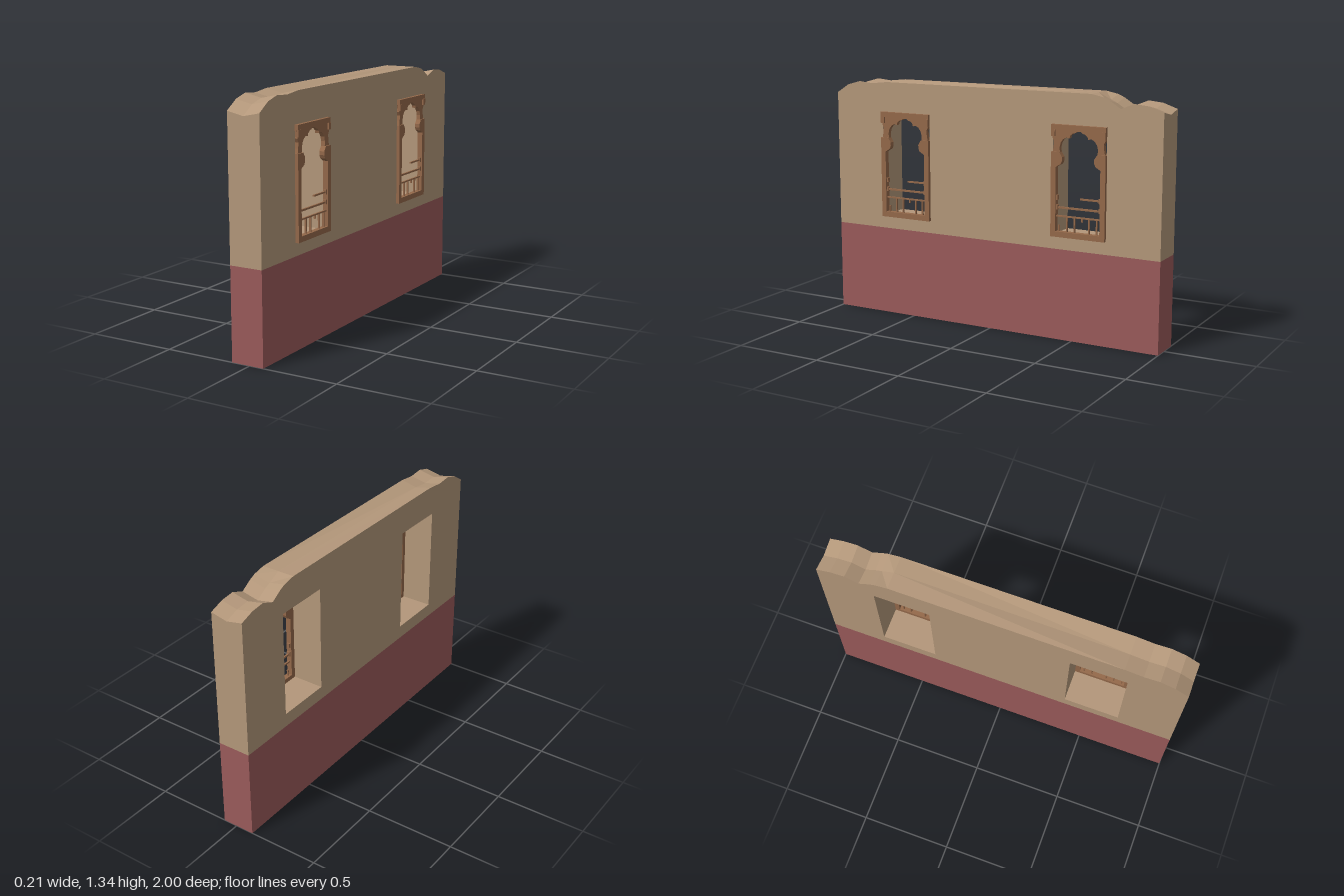
import * as THREE from 'three';

const material = (color) => new THREE.MeshStandardMaterial({ color, flatShading: true, side: THREE.DoubleSide });
const wallMat = material(0xb3977a);
const baseMat = material(0x9a5a5a);
const woodMat = material(0x94694a);

const BACK = -0.105, FACE = 0.081, WINDOW_U = 0.537;

function mesh(name, geometry, mat) {
  const m = new THREE.Mesh(geometry, mat);
  m.name = name;
  return m;
}

// Extrude a profile drawn in (u = -z, y) from x0 to x1
function slab(shape, x0, x1, steps = 1) {
  const g = new THREE.ExtrudeGeometry(shape, { depth: x1 - x0, steps, bevelEnabled: false, curveSegments: 6 });
  g.translate(0, 0, x0);
  return g;
}

const polygon = (points) => new THREE.Shape(points.map(([u, y]) => new THREE.Vector2(u, y)));
const mirrored = (half) => [...half, ...half.slice().reverse().map(([u, y]) => [-u, y])];

// Upper wall with a worn top edge and two window openings
function upperWall() {
  const shape = polygon([
    [-1, 0.5], [1, 0.5], [1, 1.264], [0.92, 1.291], [0.84, 1.299], [0.765, 1.269],
    [0.705, 1.307], [0.67, 1.323], [0.6, 1.337], [-0.66, 1.337],
    [-0.76, 1.326], [-0.845, 1.334], [-0.925, 1.312], [-1, 1.264],
  ]);
  for (const c of [-WINDOW_U, WINDOW_U]) {
    const w = 0.154;
    shape.holes.push(new THREE.Path([[c - w, 0.575], [c - w, 1.167], [c + w, 1.167], [c + w, 0.575]]
      .map(([u, y]) => new THREE.Vector2(u, y))));
  }
  const g = slab(shape, BACK, FACE, 2);
  // Sink the middle of the worn ends into a shallow valley
  const p = g.attributes.position;
  const mid = (BACK + FACE) / 2;
  for (let i = 0; i < p.count; i++) {
    if (Math.abs(p.getZ(i) - mid) < 0.01 && p.getY(i) > 1.2 && Math.abs(p.getX(i)) > 0.65) {
      p.setY(i, p.getY(i) - 0.02);
    }
  }
  g.computeVertexNormals();
  return mesh('upperWall', g, wallMat);
}

// Sill, posts and scrolled brackets as one U-shaped outline
function lowerFrame() {
  const outer = [[-0.157, 1.025], [-0.157, 0.57]];
  const inner = [
    [0.128, 0.6], [0.128, 0.945], [0.116, 0.953], [0.1, 0.962], [0.092, 0.98],
    [0.092, 1.0], [0.1, 1.012], [0.108, 1.025],
  ];
  return mesh('lowerFrame', slab(polygon([
    ...mirrored(outer),
    ...inner.slice().reverse(),
    ...inner.map(([u, y]) => [-u, y]),
  ]), 0.07, 0.1), woodMat);
}

// Multi-lobed arch with notched outer edges
function archPanel() {
  const outer = [[-0.15, 1.025], [-0.145, 1.05], [-0.142, 1.08], [-0.152, 1.1], [-0.147, 1.12], [-0.157, 1.14], [-0.157, 1.17]];
  const lobes = [
    [0.108, 1.025], [0.11, 1.05], [0.104, 1.075], [0.09, 1.094], [0.072, 1.104],
    [0.053, 1.1], [0.05, 1.114], [0.036, 1.126], [0.02, 1.13], [0.012, 1.138],
  ];
  return mesh('archPanel', slab(polygon([
    ...mirrored(outer), ...mirrored(lobes),
  ]), 0.07, 0.093), woodMat);
}

function bar(name, u, y, width, height, depth = 0.01, x = 0.084) {
  const g = new THREE.BoxGeometry(width, height, depth);
  g.translate(u, y, x);
  return mesh(name, g, woodMat);
}

function windowFrame() {
  const g = new THREE.Group();
  g.name = 'window';
  g.add(lowerFrame(), archPanel());
  g.add(bar('cornice', 0, 1.156, 0.314, 0.028, 0.02, 0.09));
  for (const s of [-1, 1]) {
    g.add(bar('corniceEnd', s * 0.145, 1.126, 0.022, 0.036, 0.02, 0.093));
    for (const y of [0.782, 0.73]) g.add(bar('railSocket', s * 0.124, y, 0.012, 0.026, 0.018));
  }
  // Rails, the top one broken off
  g.add(bar('lowerRail', 0, 0.682, 0.256, 0.008));
  g.add(bar('middleRail', 0, 0.728, 0.256, 0.01));
  g.add(bar('brokenRail', 0.069, 0.782, 0.118, 0.009));
  // Balusters, two of them broken
  for (const [u, bottom, top] of [
    [-0.112, 0.6, 0.635], [-0.066, 0.6, 0.682], [-0.022, 0.6, 0.682],
    [0.022, 0.66, 0.682], [0.062, 0.6, 0.682], [0.106, 0.6, 0.682],
  ]) g.add(bar('baluster', u, (bottom + top) / 2, 0.007, top - bottom));
  return g;
}

export function createModel() {
  const model = new THREE.Group();
  model.name = 'ruinedWall';
  const wall = new THREE.Group();
  wall.name = 'wall';
  wall.rotation.y = Math.PI / 2; // profile plane faces +x

  const base = new THREE.BoxGeometry(2, 0.5, FACE - BACK);
  base.translate(0, 0.25, (FACE + BACK) / 2);
  wall.add(mesh('base', base, baseMat), upperWall());

  for (const u of [-WINDOW_U, WINDOW_U]) {
    const w = windowFrame();
    w.position.x = u;
    wall.add(w);
  }
  model.add(wall);
  return model;
}
